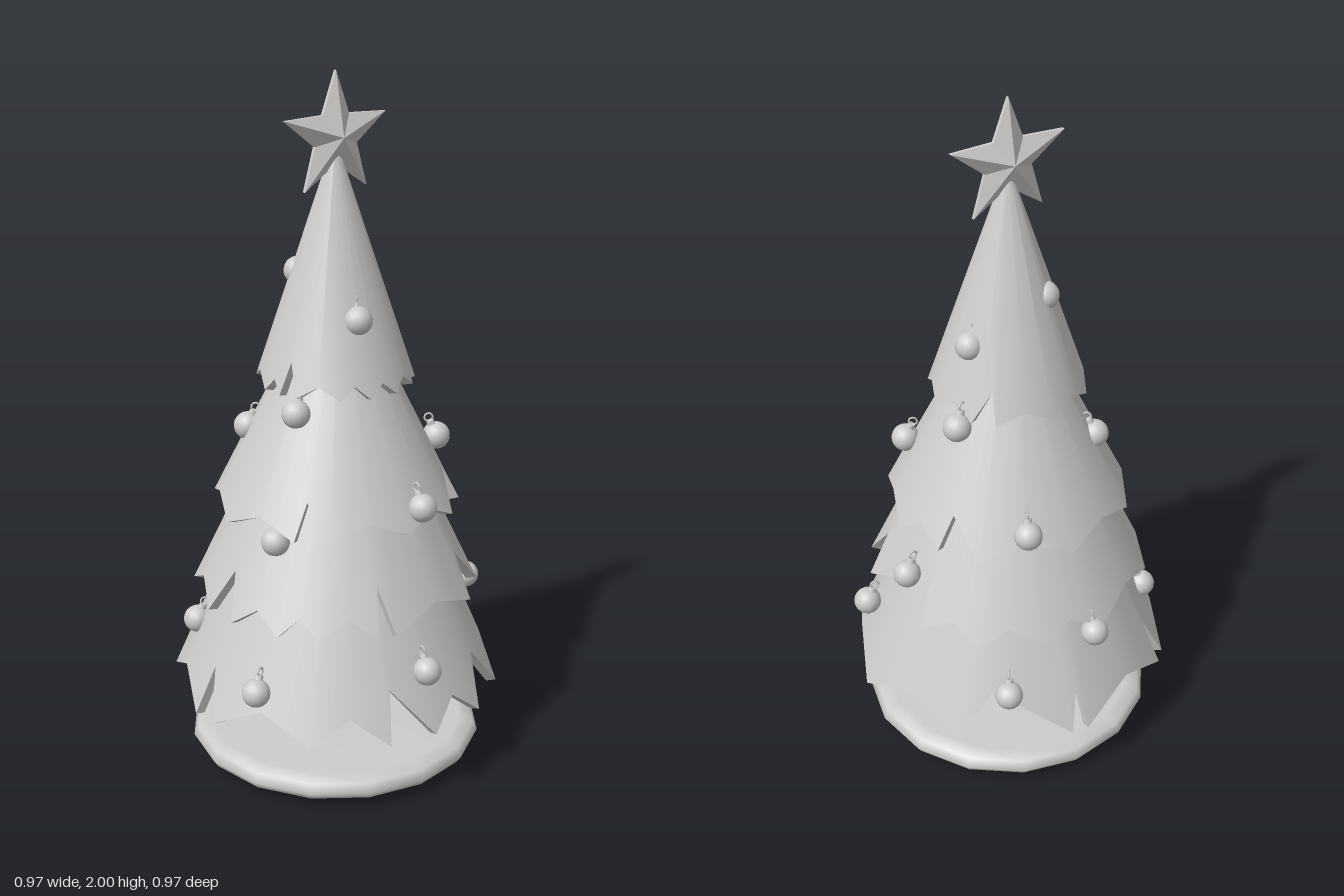
import * as THREE from 'three';
import { toCreasedNormals } from 'three/addons/utils/BufferGeometryUtils.js';

const smooth = new THREE.MeshStandardMaterial({ color: 0xcccccc });
const faceted = new THREE.MeshStandardMaterial({ color: 0xcccccc, flatShading: true });

function addMesh(parent, name, geometry, material = smooth) {
  const mesh = new THREE.Mesh(geometry, material);
  mesh.name = name;
  parent.add(mesh);
  return mesh;
}

// Ragged hem as sorted [degrees from +x towards +z, radius]: tips, sharp notches,
// and a shallow dip midway between tips that have no notch between them
function hemOutline({ hemRadius, dip, notchDepth, tips, notches }) {
  const hem = notches.map((deg) => [deg, hemRadius - notchDepth]);
  tips.forEach((deg, i) => {
    const next = i + 1 < tips.length ? tips[i + 1] : tips[0] + 360;
    hem.push([deg, hemRadius]);
    const notched = notches.some((n) => n > deg && n < next);
    if (!notched && next - deg > 14) hem.push([(deg + next) / 2, hemRadius - dip]);
  });
  return hem.sort((a, b) => a[0] - b[0]);
}

// Hollow cone with a thick ragged hem, lofted through rings
function branchGeometry(tier) {
  const { top, radius, slope } = tier;
  const hem = hemOutline(tier);
  const wall = 0.028;
  const at = (deg, r, y) => {
    const a = THREE.MathUtils.degToRad(deg);
    return new THREE.Vector3(r * Math.cos(a), y, r * Math.sin(a));
  };
  const columns = [];
  const addColumn = (deg, outer) => {
    const r = Math.hypot(outer.x, outer.z);
    const shrink = (r - wall) / r;
    const inner = new THREE.Vector3(outer.x * shrink, outer.y - 0.006, outer.z * shrink);
    columns.push([at(0, 0, top + 0.01), at(deg, radius, top), outer, inner,
      at(deg, Math.max(radius - wall, 0.004), top - 0.02), at(0, 0, top - 0.02)]);
  };
  hem.forEach(([deg, r], i) => {
    const [nextDeg, nextR] = hem[(i + 1) % hem.length];
    const end = nextDeg < deg ? nextDeg + 360 : nextDeg;
    const a = at(deg, r, top - (r - radius) * slope);
    const b = at(end, nextR, top - (nextR - radius) * slope);
    addColumn(deg, a);
    // Long hem edges get a middle column so the cone above stays round
    if (end - deg > 12) addColumn((deg + end) / 2, a.clone().lerp(b, 0.5));
  });
  const points = [];
  columns.forEach((left, i) => {
    const right = columns[(i + 1) % columns.length];
    for (let k = 0; k < 5; k++) {
      if (k > 0) points.push(left[k], right[k], right[k + 1]);
      if (k < 4) points.push(left[k], right[k + 1], left[k + 1]);
    }
  });
  return toCreasedNormals(new THREE.BufferGeometry().setFromPoints(points), 0.6);
}

const tiers = [
  { name: 'bottomBranches', top: 0.7, radius: 0.28, slope: 2.33, hemRadius: 0.484, dip: 0.033, notchDepth: 0.06,
    tips: [0, 17, 44, 82, 91, 130, 136, 180, 186, 226, 270, 315, 337],
    notches: [15, 89, 135.4, 181, 215, 328] },
  { name: 'lowerBranches', top: 1, radius: 0.19, slope: 2.1, hemRadius: 0.417, dip: 0.025, notchDepth: 0.06,
    tips: [12, 19, 42, 58, 80, 95, 127, 168, 196, 220, 246, 288, 305, 327],
    notches: [17, 87, 247.5, 291, 322] },
  { name: 'upperBranches', top: 1.3, radius: 0.1, slope: 2, hemRadius: 0.358, dip: 0.022, notchDepth: 0.05,
    tips: [0, 38, 54, 93, 135, 178, 222, 242, 268, 308, 328],
    notches: [50, 238, 311] },
  { name: 'topBranches', top: 1.78, radius: 0.015, slope: 3, hemRadius: 0.226, dip: 0.012, notchDepth: 0.03,
    tips: [10, 32, 64, 78, 95, 133, 175, 217, 235, 270, 305, 322, 347],
    notches: [73, 221, 318] },
];

// Five-pointed star in the yz plane, ridged to a raised centre on both faces
function starGeometry() {
  const rim = [];
  for (let i = 0; i < 10; i++) {
    const a = (i * Math.PI) / 5;
    const r = i % 2 ? 0.073 : 0.175;
    rim.push([r * Math.cos(a), r * Math.sin(a)]);
  }
  const edge = 0.005;
  const points = [];
  const v = (x, [y, z]) => new THREE.Vector3(x, y, z);
  rim.forEach((p, i) => {
    const q = rim[(i + 1) % rim.length];
    points.push(v(0.042, [0, 0]), v(edge, p), v(edge, q));
    points.push(v(-0.042, [0, 0]), v(-edge, q), v(-edge, p));
    points.push(v(edge, p), v(-edge, p), v(-edge, q), v(edge, p), v(-edge, q), v(edge, q));
  });
  const geometry = new THREE.BufferGeometry().setFromPoints(points);
  geometry.computeVertexNormals();
  return geometry;
}

// Ornament centres
const ornaments = [
  [0.095, 0.455, -0.425], [-0.065, 0.65, -0.365], [0.145, 0.96, -0.255], [-0.105, 1.13, -0.215],
  [-0.395, 0.38, -0.215], [-0.315, 0.86, -0.11], [-0.05, 1.34, -0.145], [-0.08, 1.45, 0.07],
  [0.148, 1.35, 0.03], [0.335, 0.845, -0.055], [0.425, 0.395, -0.01], [-0.405, 0.51, 0.06],
  [-0.15, 1, 0.2], [0.095, 1.103, 0.2], [0.137, 0.765, 0.3], [-0.195, 0.415, 0.36],
  [0.185, 0.352, 0.403],
];

export function createModel() {
  const tree = new THREE.Group();
  tree.name = 'decoratedTree';

  // Round stand with a soft rim
  const profile = [[0, 0], [0.3, 0.012], [0.38, 0.016], [0.42, 0.032], [0.433, 0.052], [0.42, 0.078],
    [0.38, 0.091], [0, 0.095]].map(([r, y]) => new THREE.Vector2(r, y));
  addMesh(tree, 'stand', new THREE.LatheGeometry(profile, 16));

  // Trunk
  const trunk = addMesh(tree, 'trunk', new THREE.CylinderGeometry(0.1, 0.108, 0.6, 8), faceted);
  trunk.position.y = 0.385;

  // Four tiers of branches
  for (const tier of tiers) addMesh(tree, tier.name, branchGeometry(tier));

  // Star
  addMesh(tree, 'star', starGeometry(), faceted).position.y = 1.825;

  // Hanging ornaments, their caps leaning in towards the tree
  const ball = new THREE.SphereGeometry(0.04, 16, 12);
  const cap = new THREE.CylinderGeometry(0.011, 0.013, 0.014, 8);
  const loop = new THREE.TorusGeometry(0.012, 0.003, 6, 12);
  for (const [x, y, z] of ornaments) {
    const ornament = new THREE.Group();
    ornament.name = 'ornament';
    addMesh(ornament, 'ball', ball);
    addMesh(ornament, 'cap', cap).position.y = 0.043;
    const hook = addMesh(ornament, 'loop', loop);
    hook.position.y = 0.06;
    hook.rotation.y = Math.PI / 2;
    ornament.position.set(x, y, z);
    ornament.rotation.order = 'YXZ';
    ornament.rotation.set(-0.4, Math.atan2(x, z), 0);
    tree.add(ornament);
  }
  return tree;
}
